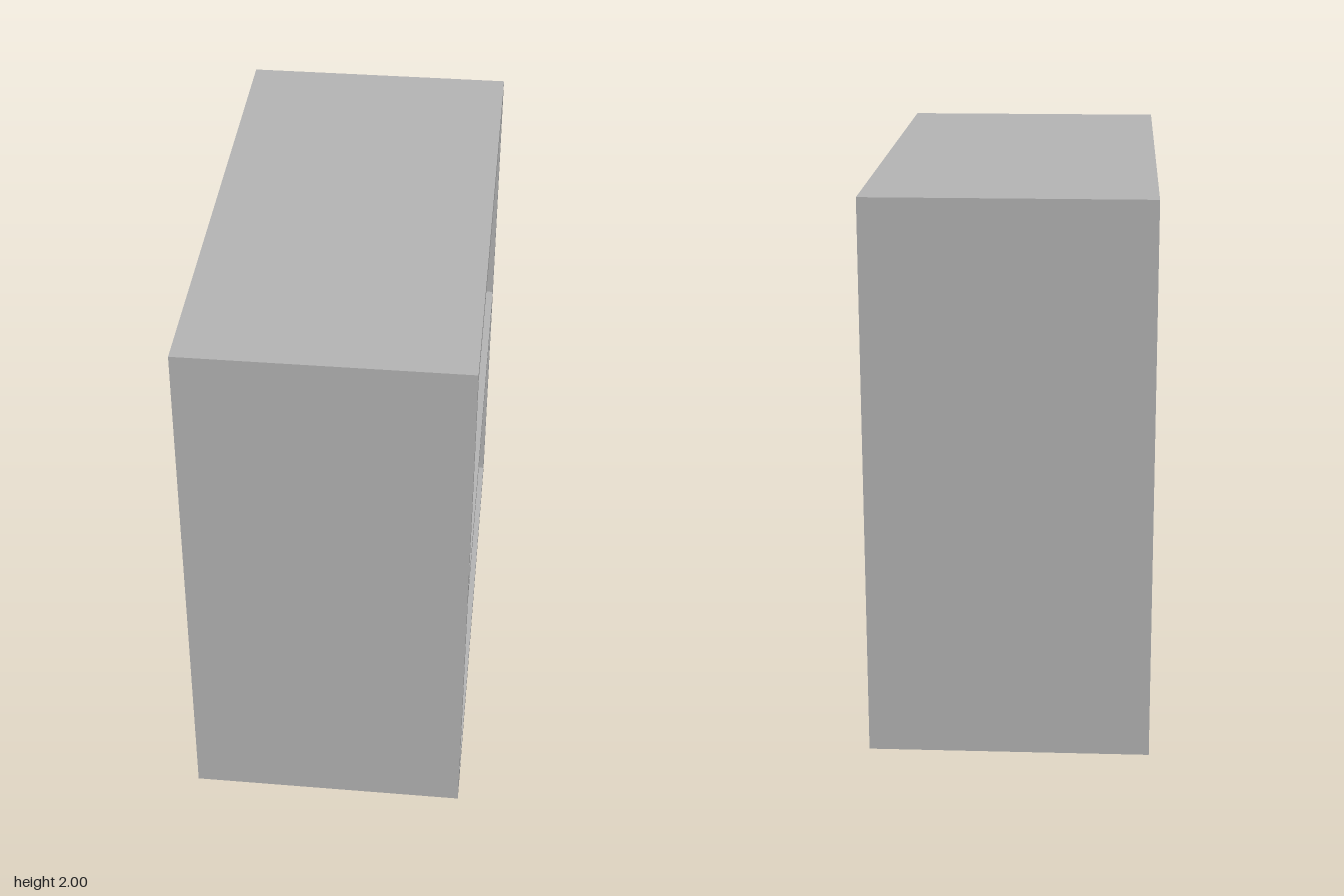
import * as THREE from 'three';

const U = 1 / 16; // board thickness, also the grid for the books

export function createModel() {
  const model = new THREE.Group();
  const grey = new THREE.MeshStandardMaterial({ color: 0xb2b2b2 });
  grey.name = 'plain grey';

  const box = (parent, name, w, h, d, x, y, z) => {
    const mesh = new THREE.Mesh(new THREE.BoxGeometry(w, h, d), grey);
    mesh.name = name;
    mesh.position.set(x, y, z);
    parent.add(mesh);
  };

  // Case: one outline with two openings, extruded along x, plus a back board
  const outline = new THREE.Shape([[-1, 0], [1, 0], [1, 2], [-1, 2]].map(p => new THREE.Vector2(...p)));
  const openings = [[U, 1 - U / 2], [1 + U / 2, 2 - U]];
  for (const [y0, y1] of openings) {
    const s = 1 - U;
    outline.holes.push(new THREE.Path([[-s, y0], [-s, y1], [s, y1], [s, y0]].map(p => new THREE.Vector2(...p))));
  }
  const frameGeo = new THREE.ExtrudeGeometry(outline, { depth: 1 - U, bevelEnabled: false });
  frameGeo.rotateY(Math.PI / 2);
  const frame = new THREE.Mesh(frameGeo, grey);
  frame.name = 'caseFrame';
  frame.position.x = -0.5 + U;
  model.add(frame);
  box(model, 'backBoard', U, 2, 2, -0.5 + U / 2, 1, 0);

  // Rows of books from +z to -z: [width, top height] in units of U
  const rows = [
    { name: 'lowerBooks', bottom: U, top: 0,
      books: [[4, 14], [4, 15], [3, 13], [3, 13], [4, 15], [4, 14], [4, 13], [4, 14]] },
    { name: 'upperBooks', bottom: 1 + U / 2, top: 0.5 * U,
      books: [[4, 29], [3, 28], [4, 28], [4, 29], [4, 29], [4, 28], [4, 29], [3, 29]] },
  ];
  const gap = 0.003, front = 0.5 - 2 * U, back = -0.5 + U;
  for (const row of rows) {
    const group = new THREE.Group();
    group.name = row.name;
    let z = 1 - U;
    for (const [w, t] of row.books) {
      const width = w * U, height = t * U + row.top - row.bottom;
      box(group, 'book', front - back, height, width - gap,
        (front + back) / 2, row.bottom + height / 2, z - width / 2);
      z -= width;
    }
    model.add(group);
  }
  return model;
}
